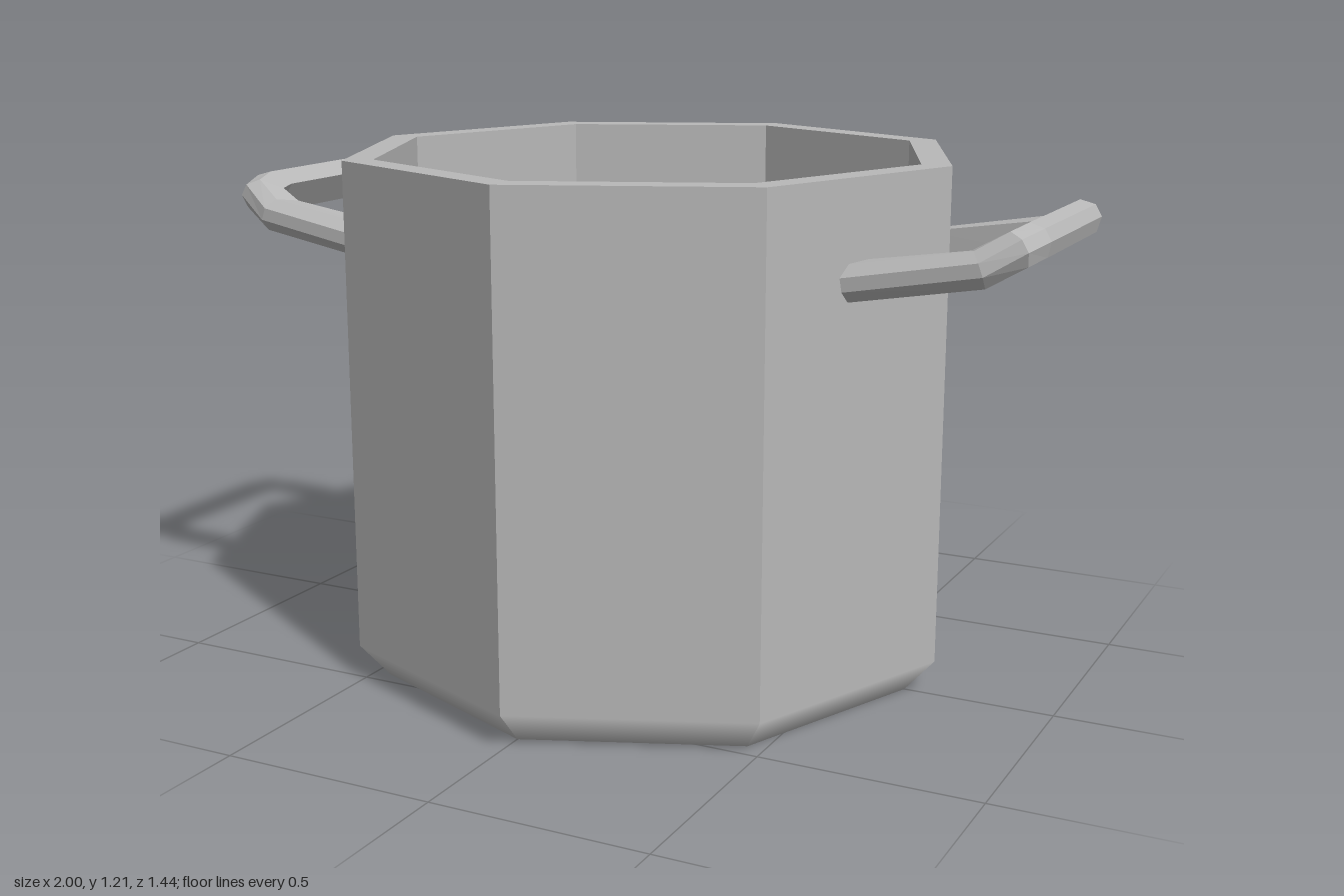
import * as THREE from 'three';

// Octagonal pot: one lathe profile from the base up, over the rim and down inside
function potGeometry() {
  const profile = [[0, 0], [0.65, 0], [0.72, 0.08], [0.72, 1.21], [0.65, 1.21], [0.65, 1.0]]
    .map(([r, y]) => new THREE.Vector2(r, y));
  const geo = new THREE.LatheGeometry(profile, 8).toNonIndexed();
  geo.computeVertexNormals();
  // Blend the bottom bevel softly into the upright walls
  const pos = geo.attributes.position, nor = geo.attributes.normal;
  const n = new THREE.Vector3();
  for (let i = 0; i < pos.count; i++) {
    n.fromBufferAttribute(nor, i);
    if (n.y < -0.1 && n.y > -0.95 && pos.getY(i) > 0.04) {
      n.setY(0).normalize();
      nor.setXYZ(i, n.x, n.y, n.z);
    }
  }
  return geo;
}

// Handle: a bevelled section swept round a bracket that bends upwards
function handleGeometry() {
  const section = [[-0.04, -0.04], [0.02, -0.04], [0.045, -0.015], [0.045, 0.015], [0.02, 0.04], [-0.04, 0.04]];
  // x, y, z, upward tilt, turn of the outward side towards z
  const half = [
    [0.592, 0.99, 0.27, 0.17, Math.PI / 2],
    [0.87, 1.037, 0.27, 0.35, 1.16],
    [0.937, 1.076, 0.25, 0.52, 0.7],
    [0.953, 1.085, 0.19, 0.52, 0.25],
  ];
  const mirrored = half.slice().reverse().map(([x, y, z, tilt, turn]) => [x, y, -z, tilt, -turn]);
  const stations = [...half, ...mirrored];
  const count = section.length;
  const positions = [], index = [];
  for (const [x, y, z, tilt, turn] of stations) {
    const ct = Math.cos(tilt), st = Math.sin(tilt);
    const cx = Math.cos(turn), cz = Math.sin(turn);
    for (const [o, u] of section) {
      positions.push(x + o * cx * ct - u * st, y + o * cx * st + u * ct, z + o * cz);
    }
  }
  for (let k = 0; k < stations.length - 1; k++) {
    for (let i = 0; i < count; i++) {
      const a = k * count + i, b = k * count + (i + 1) % count;
      index.push(a, a + count, b, b, a + count, b + count);
    }
  }
  // End caps
  const last = (stations.length - 1) * count;
  for (let i = 1; i < count - 1; i++) {
    index.push(0, i, i + 1, last, last + i + 1, last + i);
  }
  const indexed = new THREE.BufferGeometry();
  indexed.setAttribute('position', new THREE.Float32BufferAttribute(positions, 3));
  indexed.setIndex(index);
  const geo = indexed.toNonIndexed();
  geo.computeVertexNormals(); // faceted
  return geo;
}

export function createModel() {
  const metal = new THREE.MeshStandardMaterial({ color: 0xb8b8b8 });
  metal.name = 'greyMetal';
  const broth = new THREE.MeshStandardMaterial({ color: 0xce9e4c });
  broth.name = 'goldenSoup';

  const model = new THREE.Group();
  model.name = 'cookingPot';
  const add = (name, geo, mat) => {
    const mesh = new THREE.Mesh(geo, mat);
    mesh.name = name;
    model.add(mesh);
    return mesh;
  };

  add('potBody', potGeometry(), metal);

  // Soup surface inside the pot
  const soup = add('soup', new THREE.CircleGeometry(0.65, 8), broth);
  soup.rotation.x = -Math.PI / 2;
  soup.position.y = 1.05;

  // Two matching side handles
  const handle = handleGeometry();
  add('leftHandle', handle, metal);
  add('rightHandle', handle, metal).rotation.y = Math.PI;

  return model;
}
